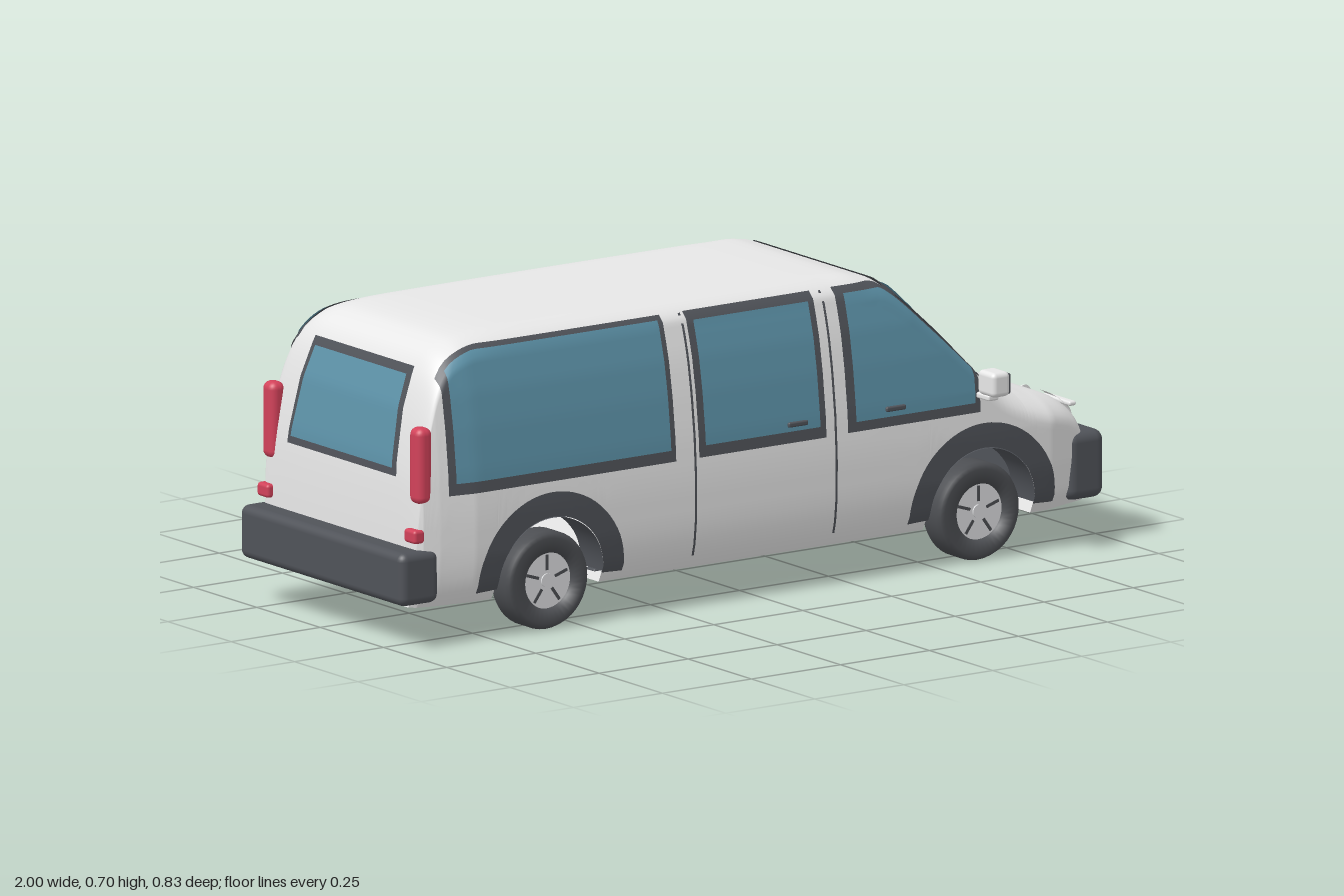
import * as THREE from 'three';
import { RoundedBoxGeometry } from 'three/addons/geometries/RoundedBoxGeometry.js';

const mat = (name, color, side = THREE.FrontSide) =>
  Object.assign(new THREE.MeshStandardMaterial({ color, side }), { name });

// Linear interpolation in a table of [key, value] pairs
function look(table, k) {
  if (k <= table[0][0]) return table[0][1];
  for (let i = 1; i < table.length; i++) {
    const [k0, v0] = table[i - 1], [k1, v1] = table[i];
    if (k <= k1) return v0 + (v1 - v0) * (k - k0) / (k1 - k0 || 1);
  }
  return table[table.length - 1][1];
}

// Centre-line profile of tailgate, roof, windscreen and bonnet (x, y)
const PROFILE = [[-.945, .2], [-.94, .32], [-.93, .42], [-.905, .54], [-.87, .63], [-.82, .678],
  [-.73, .698], [-.5, .702], [0, .702], [.25, .7], [.34, .692], [.395, .668], [.5, .57], [.6, .472],
  [.65, .423], [.7, .392], [.79, .364], [.89, .335], [.93, .295], [.945, .2]];
const LINE = new THREE.SplineCurve(PROFILE.map(p => new THREE.Vector2(...p)))
  .getPoints(190).map(p => [p.x, p.y]);
const REAR = PROFILE.slice(0, 7).map(([x, y]) => [y, x]);
// Half width by height, plan taper by x, and corner radii by x
const WIDTH = [[.09, .308], [.13, .328], [.2, .336], [.3, .337], [.4, .331], [.5, .319], [.58, .305], [.64, .289], [.7, .268]];
const TAPER = [[-.945, .88], [-.93, .92], [-.89, .955], [-.8, 1], [.82, 1], [.885, .93], [.945, .87]];
const CORNER_W = [[.25, .1], [.4, .065], [.5, .06], [.62, .06], [.75, .12]];
const CORNER_H = [[.25, .05], [.4, .05], [.62, .05], [.75, .06]];
const WHEELS = [-.588, .624], AXLE = .12, ARCH = .15, FLOOR = .09;

// Measures of the body cross-section at x
function section(x) {
  const top = look(LINE, x), r = look(CORNER_W, x), c = look(CORNER_H, x);
  return { top, r, c, zc: look(WIDTH, top - c) * look(TAPER, x) - r };
}
function sideZ(x, y) {
  const { top, r, c, zc } = section(x), d = (y - top + c) / c;
  return d <= 0 ? look(WIDTH, y) * look(TAPER, x) : zc + r * Math.sqrt(Math.max(0, 1 - d * d));
}
function topY(x, z) {
  const { top, r, c, zc } = section(x), d = (Math.abs(z) - zc) / r;
  return d <= 0 ? top : top - c + c * Math.sqrt(Math.max(0, 1 - d * d));
}
const sillY = x => WHEELS.reduce((y, w) => {
  const d = Math.abs(x - w);
  return d <= ARCH + 1e-6 ? AXLE + Math.sqrt(Math.max(0, ARCH * ARCH - d * d)) : y;
}, FLOOR);

// Smooth surface from a rule on an integer grid
function grid(nu, nv, rule) {
  const pos = [], idx = [];
  for (let i = 0; i <= nu; i++) for (let j = 0; j <= nv; j++) {
    pos.push(...rule(i / nu, j / nv, i, j));
    if (i < nu && j < nv) {
      const a = i * (nv + 1) + j, b = a + nv + 1;
      idx.push(a, b, b + 1, a, b + 1, a + 1);
    }
  }
  const g = new THREE.BufferGeometry();
  g.setAttribute('position', new THREE.Float32BufferAttribute(pos, 3));
  g.setIndex(idx);
  g.computeVertexNormals();
  return g;
}

export function createModel() {
  const van = new THREE.Group();
  van.name = 'van';
  const paint = mat('bodyPaint', 0xebebeb, THREE.DoubleSide);
  const trim = mat('darkTrim', 0x505359, THREE.DoubleSide);
  const glass = mat('glass', 0x5c91a7, THREE.DoubleSide);
  const tyreMat = mat('tyre', 0x4c4e52);
  const rimMat = mat('rim', 0xdcdddf);
  const red = mat('tailLamp', 0xd2425a);
  const add = (name, geo, m, x = 0, y = 0, z = 0, parent = van) => {
    const mesh = new THREE.Mesh(geo, m);
    mesh.name = name;
    mesh.position.set(x, y, z);
    parent.add(mesh);
    return mesh;
  };
  const box = (w, h, d, r) => new RoundedBoxGeometry(w, h, d, 3, r);

  // Stations along the body, finer around the wheel arches
  const xs = LINE.map(p => p[0]);
  for (const w of WHEELS) {
    for (let i = 0; i <= 28; i++) xs.push(w + ARCH * Math.cos(Math.PI * i / 28));
    xs.push(w - ARCH - .001, w + ARCH + .001);
  }
  xs.sort((a, b) => a - b);

  // Body shell: sill, side, rounded corner, top, then the same mirrored
  const S = 16, C = 8, T = 4, H = S + C + T;
  add('bodyShell', grid(xs.length - 1, 2 * H, (u, v, i, j) => {
    const x = xs[i], k = j <= H ? j : 2 * H - j, sign = j <= H ? 1 : -1;
    const { top, r, c, zc } = section(x);
    if (k <= S) {
      const b = Math.min(sillY(x), top - c), y = b + (top - c - b) * k / S;
      return [x, y, sign * sideZ(x, y)];
    }
    if (k <= S + C) {
      const a = (k - S) / C * Math.PI / 2;
      return [x, top - c + c * Math.sin(a), sign * (zc + r * Math.cos(a))];
    }
    return [x, top, sign * zc * (H - k) / T];
  }), paint);

  // Floor, notched at the wheels, with small mounting pads
  add('floor', grid(xs.length - 1, 2, (u, v, i) => {
    const z = sillY(xs[i]) > FLOOR ? .23 : sideZ(xs[i], FLOOR);
    return [xs[i], FLOOR, z * (2 * v - 1)];
  }), paint);
  for (const x of [-.36, .02, .4]) for (const z of [-.2, .02, .2])
    add('floorPad', box(.05, .012, .035, .005), trim, x, .089, z);

  // Patches laid on the body sides
  for (const s of [1, -1]) {
    const patch = (name, m, off, nu, nv, at) => add(name, grid(nu, nv, (u, v) => {
      const [x, y] = at(u, v);
      return [x, y + off * .4, s * (sideZ(x, y) + off)];
    }), m);
    const pane = (name, m, off, x0, x1, y0, y1, gap) => patch(name, m, off, 40, 20, (u, v) => {
      const x = x0 + (x1 - x0) * u, yt = Math.max(y0, Math.min(y1, look(LINE, x) - gap));
      return [x, y0 + (yt - y0) * v];
    });
    pane('rearWindowFrame', trim, .004, -.87, -.24, .35, .682, .014);
    pane('rearSideGlass', glass, .007, -.852, -.255, .376, .672, .022);
    pane('middleWindowFrame', trim, .004, -.175, .182, .35, .682, .014);
    pane('middleSideGlass', glass, .007, -.158, .164, .376, .662, .022);
    pane('frontWindowFrame', trim, .004, .243, .615, .352, .682, .008);
    pane('frontSideGlass', glass, .007, .265, .6, .374, .667, .018);
    for (const x of [-.185, .21]) pane('doorSeam', trim, .002, x - .003, x + .003, .12, .68, .02);
    for (const x of s > 0 ? [.1, .375] : [-.52, .375])
      add('doorHandle', box(.055, .012, .012, .004), trim, x, .395, s * (sideZ(x, .395) + .007));

    // Wheel arch flares, broad on the left and slim on the right, with a liner lip
    const [inner, wide] = s > 0 ? [ARCH - .003, .058] : [ARCH - .006, .026];
    for (const w of WHEELS) {
      patch('archFlare', trim, .005, 36, 4, (u, v) => {
        const a = Math.PI * (1.03 * u - .015), r = inner + wide * v;
        return [w + r * Math.cos(a), AXLE + r * Math.sin(a)];
      });
      add('archLiner', grid(36, 1, (u, v) => {
        const a = Math.PI * u, x = w + inner * Math.cos(a), y = AXLE + inner * Math.sin(a);
        return [x, y, s * (sideZ(x, y) + .005 - .09 * v)];
      }), trim);
    }

    // Door mirrors
    add('mirrorArm', box(.03, .014, .07, .005), paint, .62, .394, s * .348);
    add('mirrorHousing', box(.05, .058, .066, .012), paint, .62, .43, s * .383);
    add('mirrorFace', box(.008, .048, .058, .003), trim, .643, .43, s * .383);

    // Lamps
    add('tailLamp', box(.042, .18, .048, .018), red, -.924, .425, s * .29);
    add('lowerTailLamp', box(.03, .032, .045, .008), red, -.942, .262, s * .29);
    add('headlamp', grid(6, 8, (u, v) => {
      const x = .895 + .036 * u, z = .17 + (.1 - .02 * u) * v;
      return [x + .004, topY(x, z) + .005, s * z];
    }), paint);
    add('headlampBrow', box(.02, .011, .11, .005), paint, .918, .321, s * .222);
  }

  // Windscreen with its small wiper, and tailgate window
  const screen = (name, m, off, x0, x1, half, narrow) => add(name, grid(24, 24, (u, v) => {
    const x = x0 + (x1 - x0) * u, z = (half - narrow * u) * (1 - 2 * v);
    return [x + off, topY(x, z) + off, z];
  }), m);
  screen('windscreenFrame', trim, .004, .383, .7, .28, .012);
  screen('windscreen', glass, .007, .408, .675, .25, 0);
  add('wiper', box(.012, .006, .024, .002), trim, .616, .468, -.182);
  const tailgate = (name, m, off, y0, y1, half) => add(name, grid(16, 12, (u, v) => {
    const y = y0 + (y1 - y0) * u;
    return [look(REAR, y) - off, y + off * .3, (half - .02 * u) * (1 - 2 * v)];
  }), m);
  tailgate('tailgateFrame', trim, .006, .385, .632, .215);
  tailgate('tailgateGlass', glass, .009, .402, .612, .2);

  // Bumpers with intake and fog lamp panels, and the nose disc
  add('frontBumper', box(.105, .16, .63, .025), trim, .932, .18, 0);
  add('rearBumper', box(.108, .125, .645, .02), trim, -.946, .167, 0);
  add('intake', box(.008, .046, .33, .003), trim, .984, .143, 0);
  for (const s of [1, -1]) add('fogLampPanel', box(.008, .036, .05, .003), trim, .984, .143, s * .255);
  add('noseDisc', new THREE.CylinderGeometry(.017, .017, .004, 24).rotateX(Math.PI / 2), paint, .978, .289, 0);

  // Wheels
  const tyre = new THREE.LatheGeometry([[.066, -.036], [.1, -.038], [.11, -.034], [.115, -.024],
    [.115, .024], [.11, .034], [.1, .038], [.066, .036], [.066, -.036]]
    .map(p => new THREE.Vector2(...p)), 40).rotateX(Math.PI / 2);
  const disc = (r, d) => new THREE.CylinderGeometry(r, r, d, 32).rotateX(Math.PI / 2);
  for (const x of WHEELS) for (const s of [1, -1]) {
    const wheel = new THREE.Group();
    wheel.name = 'wheel';
    wheel.position.set(x, .115, s * .287);
    if (s < 0) wheel.rotation.y = Math.PI;
    van.add(wheel);
    add('tyre', tyre, tyreMat, 0, 0, 0, wheel);
    add('rim', disc(.068, .056), rimMat, 0, 0, 0, wheel);
    add('hub', disc(.016, .064), rimMat, 0, 0, 0, wheel);
    for (let i = 0; i < 5; i++) {
      const a = Math.PI / 2 + i * Math.PI * .4;
      add('rimSlot', new THREE.BoxGeometry(.036, .007, .004), tyreMat,
        .042 * Math.cos(a), .042 * Math.sin(a), .028, wheel).rotation.z = a;
    }
  }
  return van;
}
